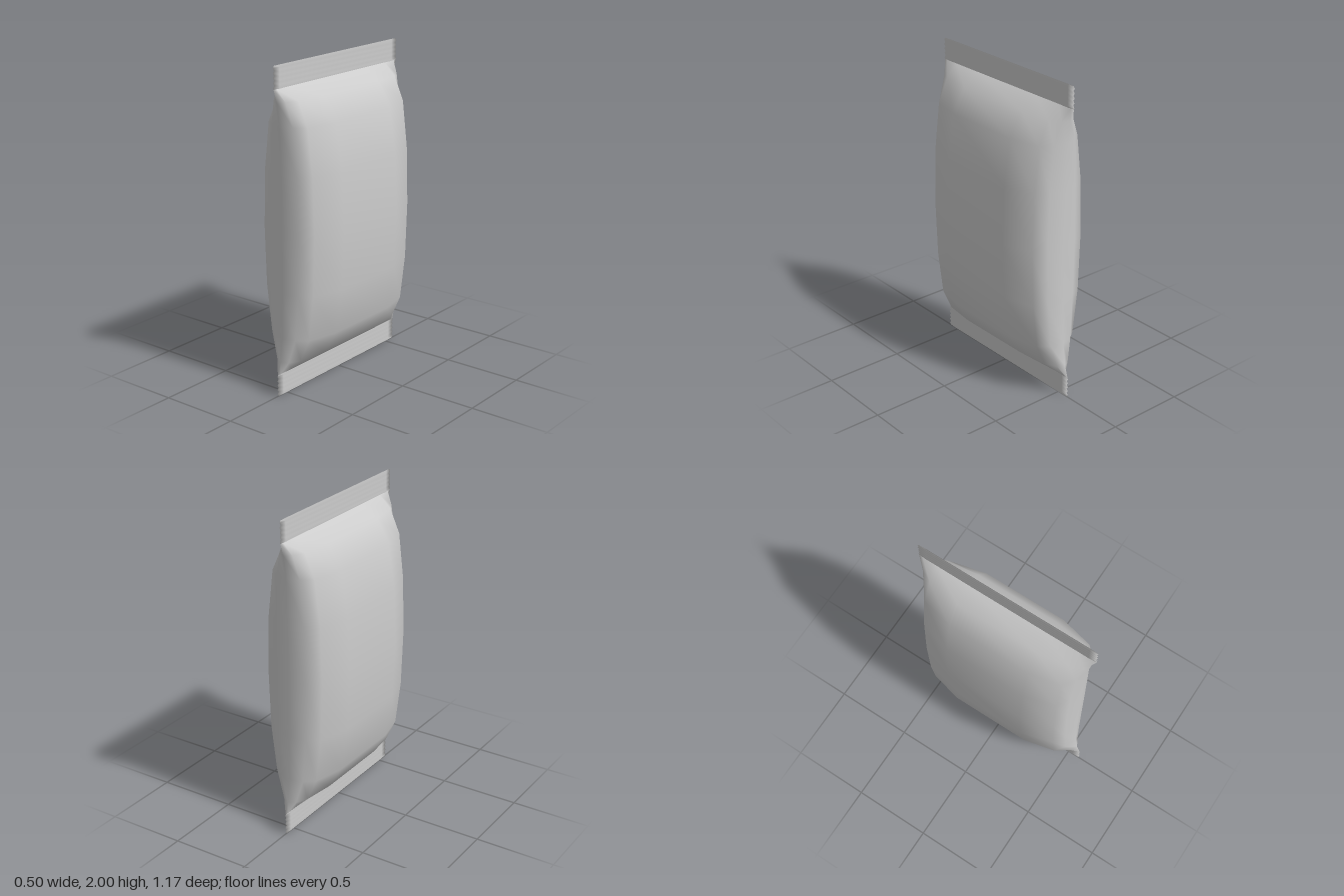
import * as THREE from 'three';

const material = new THREE.MeshStandardMaterial({ color: 0xcccccc, side: THREE.DoubleSide });

// Joins closed rings of [x, z] points, stacked from bottom to top
function loft(rings) {
  const n = rings[0].points.length;
  const positions = [], index = [];
  rings.forEach(({ y, points }, r) => {
    points.forEach(([x, z], j) => {
      positions.push(x, y, z);
      if (r === rings.length - 1) return;
      const a = r * n + j, b = r * n + (j + 1) % n;
      index.push(a, b, a + n, b, b + n, a + n);
    });
  });
  const geometry = new THREE.BufferGeometry();
  geometry.setAttribute('position', new THREE.Float32BufferAttribute(positions, 3));
  geometry.setIndex(index);
  geometry.computeVertexNormals();
  return geometry;
}

// Mirrors a quarter section, listed from the front edge to the side, into a ring
function mirrorRing(quarter) {
  const half = [...quarter, ...quarter.slice(1).reverse().map(([x, z]) => [x, -z])];
  const back = [quarter[0][0], -quarter[0][1]];
  return [...half, back, ...half.slice(1).reverse().map(([x, z]) => [-x, z])];
}

function namedMesh(name, geometry) {
  const mesh = new THREE.Mesh(geometry, material);
  mesh.name = name;
  return mesh;
}

// Puffed pouch: height, half thickness and half width of each level
function pouchGeometry() {
  const lower = [
    [0.135, 0.003, 0.58],
    [0.21, 0.105, 0.555],
    [0.355, 0.19, 0.535],
    [0.64, 0.235, 0.527],
    [1, 0.25, 0.525],
  ];
  const upper = lower.slice(0, -1).reverse().map(([y, t, w]) => [2 - y, t, w]);
  return loft([...lower, ...upper].map(([y, t, w]) => ({
    y,
    points: mirrorRing([
      [0, w],
      [t * 0.42, w - 0.025],
      [t * 0.76, 0.46],
      [t, 0.26],
    ]),
  })));
}

// Crimped seal: thin band with fine ridges and serrated ends
function sealGeometry(height, teeth) {
  const rings = [];
  for (let i = 0; i <= teeth * 2; i++) {
    const ridge = i % 2;
    const t = ridge ? 0.003 : 0.002;
    rings.push({
      y: (i / (teeth * 2)) * height,
      points: mirrorRing([[0, ridge ? 0.584 : 0.574], [t, 0.53]]),
    });
  }
  return loft(rings);
}

export function createModel() {
  const model = new THREE.Group();
  model.name = 'pillowPouch';
  model.add(namedMesh('pouch', pouchGeometry()));

  const seal = sealGeometry(0.14, 5);
  const bottomSeal = namedMesh('bottomSeal', seal);
  const topSeal = namedMesh('topSeal', seal);
  topSeal.position.y = 1.86;
  model.add(bottomSeal, topSeal);
  return model;
}
